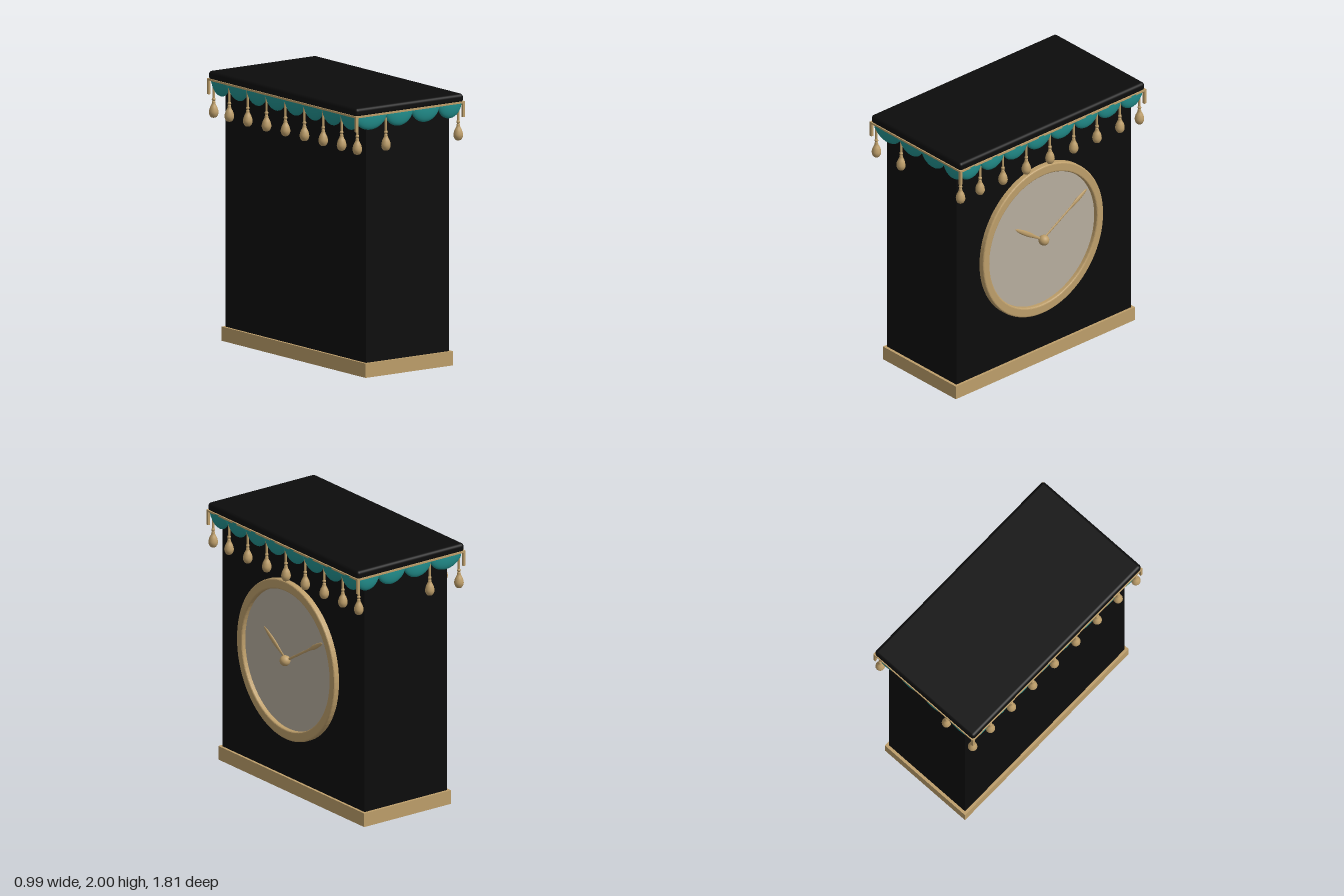
import * as THREE from 'three';
import { RoundedBoxGeometry } from 'three/addons/geometries/RoundedBoxGeometry.js';

const black = new THREE.MeshStandardMaterial({ color: 0x0c0c0c, name: 'black' });
const gold = new THREE.MeshStandardMaterial({ color: 0xbd9e6a, name: 'gold', side: THREE.DoubleSide });
const teal = new THREE.MeshStandardMaterial({ color: 0x239290, name: 'teal', side: THREE.DoubleSide });
const cream = new THREE.MeshStandardMaterial({ color: 0xb8ae9f, name: 'cream' });

function add(parent, name, geometry, material, x = 0, y = 0, z = 0) {
  const mesh = new THREE.Mesh(geometry, material);
  mesh.name = name;
  mesh.position.set(x, y, z);
  parent.add(mesh);
  return mesh;
}

// Four thin strips around a rectangle
function addFrame(parent, name, x0, x1, hz, y0, y1, t) {
  const frame = new THREE.Group();
  frame.name = name;
  const h = y1 - y0, y = (y0 + y1) / 2, cx = (x0 + x1) / 2;
  for (const s of [-1, 1]) {
    add(frame, 'endStrip', new THREE.BoxGeometry(x1 - x0, h, t), gold, cx, y, s * (hz - t / 2));
    add(frame, 'sideStrip', new THREE.BoxGeometry(t, h, 2 * hz - 2 * t), gold, s > 0 ? x1 - t / 2 : x0 + t / 2, y, 0);
  }
  parent.add(frame);
}

const lathe = (points, n) => new THREE.LatheGeometry(
  new THREE.SplineCurve(points.map(([r, y]) => new THREE.Vector2(r, y))).getPoints(28)
    .map((p) => new THREE.Vector2(Math.max(p.x, 0), p.y)), n);

function ellipse(target, rx, ry) {
  target.absellipse(0, 0, rx, ry, 0, Math.PI * 2, false, 0);
  return target;
}

export function createModel() {
  const clock = new THREE.Group();
  clock.name = 'clock';

  // Case, base trim and lid
  add(clock, 'case', new THREE.BoxGeometry(0.75, 1.86, 1.7), black, 0.01, 1.02, 0);
  addFrame(clock, 'baseTrim', -0.385, 0.405, 0.872, 0, 0.105, 0.022);
  add(clock, 'lid', new RoundedBoxGeometry(0.975, 0.066, 1.8, 4, 0.025), black, -0.0025, 1.967, 0);
  addFrame(clock, 'lidTrim', -0.494, 0.49, 0.904, 1.93, 1.944, 0.02);
  for (const x of [-0.484, 0.48])
    for (const z of [-0.894, 0.894])
      add(clock, 'cornerTrim', new THREE.BoxGeometry(0.02, 0.115, 0.02), gold, x, 1.885, z);

  // Scalloped valance: lower front quarter of a flattened ball
  const scallop = new THREE.SphereGeometry(1, 20, 10, 0, Math.PI, Math.PI / 2, Math.PI / 2);
  const sideStops = [-0.885, -0.68, -0.457, -0.23, 0, 0.23, 0.457, 0.68, 0.885];
  const endStops = [-0.475, -0.2, 0.037, 0.275, 0.475];
  function addScallops(stops, place) {
    for (let i = 0; i < stops.length - 1; i++) {
      const mesh = add(clock, 'scallop', scallop, teal);
      mesh.scale.set((stops[i + 1] - stops[i]) / 2 + 0.008, 0.115, 0.035);
      place(mesh, (stops[i] + stops[i + 1]) / 2);
    }
  }
  for (const s of [-1, 1]) {
    addScallops(sideStops, (m, c) => {
      m.position.set(s * 0.456, 1.94, c);
      m.rotation.y = s * Math.PI / 2;
    });
    addScallops(endStops, (m, c) => {
      m.position.set(c, 1.94, s * 0.867);
      m.rotation.y = s > 0 ? 0 : Math.PI;
    });
  }

  // Tassels hanging between the scallops
  const drop = lathe([[0, 1.655], [0.022, 1.66], [0.035, 1.69], [0.029, 1.725], [0.015, 1.755], [0.011, 1.775], [0, 1.78]], 14);
  const cord = new THREE.CylinderGeometry(0.009, 0.009, 0.17, 8);
  function addTassel(x, z) {
    const tassel = new THREE.Group();
    tassel.name = 'tassel';
    add(tassel, 'drop', drop, gold);
    add(tassel, 'cord', cord, gold, 0, 1.855, 0);
    add(tassel, 'knot', new THREE.SphereGeometry(0.014, 10, 8), gold, 0, 1.79, 0);
    tassel.position.set(x, 0, z);
    clock.add(tassel);
  }
  for (const z of sideStops)
    for (const x of [-0.458, 0.453]) addTassel(x, Math.sign(z) * Math.min(Math.abs(z), 0.87));
  for (const s of [-1, 1]) addTassel(-0.196, s * 0.865);

  // Dial on the +x side, built facing +z then turned
  const dial = new THREE.Group();
  dial.name = 'dial';
  dial.position.set(0.385, 1.02, 0.04);
  dial.rotation.y = Math.PI / 2;
  clock.add(dial);
  add(dial, 'face', new THREE.ShapeGeometry(ellipse(new THREE.Shape(), 0.535, 0.55), 40), cream, 0, 0, 0.01);
  const bezel = ellipse(new THREE.Shape(), 0.573, 0.598);
  bezel.holes.push(ellipse(new THREE.Path(), 0.534, 0.546));
  add(dial, 'bezel', new THREE.ExtrudeGeometry(bezel, {
    depth: 0.032, bevelThickness: 0.012, bevelSize: 0.012, bevelSegments: 3, curveSegments: 40,
  }), gold);

  // Hands and hub; local x is -z of the model
  function addHand(name, profile, dx, dy) {
    const hand = add(dial, name, lathe(profile, 12), gold, 0, 0, 0.034);
    hand.scale.z = 0.5;
    hand.rotation.z = -Math.atan2(dx, dy);
  }
  addHand('hourHand', [[0.009, 0], [0.011, 0.08], [0.018, 0.16], [0.018, 0.22], [0.012, 0.29], [0, 0.33]], -0.27, 0.185);
  addHand('minuteHand', [[0.009, 0], [0.009, 0.16], [0.01, 0.32], [0.018, 0.38], [0.015, 0.45], [0.009, 0.49], [0, 0.5]], 0.43, 0.26);
  add(dial, 'hub', new THREE.SphereGeometry(0.04, 20, 14), gold, 0, 0, 0.046);
  return clock;
}
